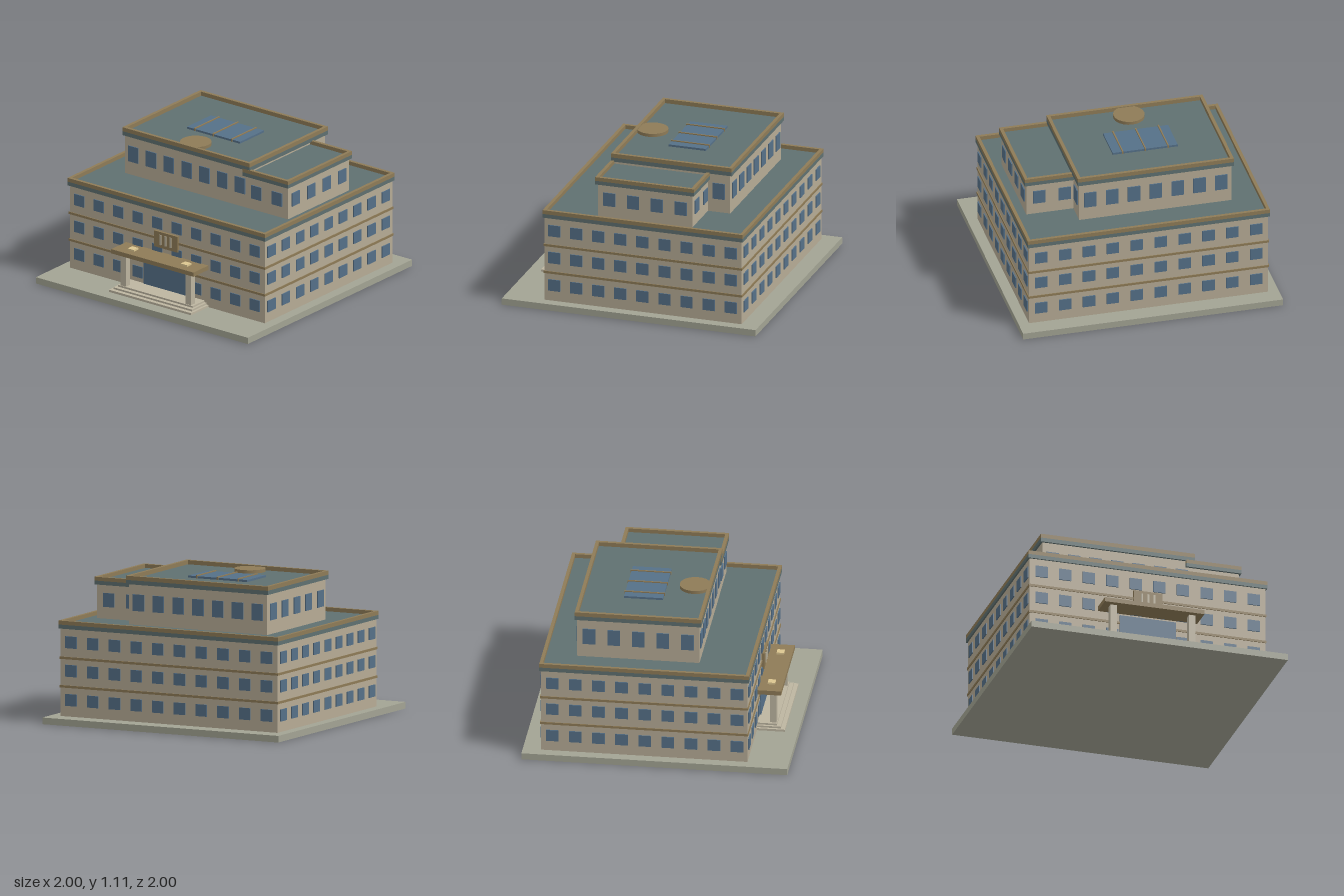
import * as THREE from 'three';

const paint = (color) => new THREE.MeshStandardMaterial({ color });
const wall = paint(0xb6ab95), trim = paint(0x8e7b57), roof = paint(0x5f7070);
const glass = paint(0x557088), paving = paint(0xa2a393), stone = paint(0xbdb5a0), lamp = paint(0xdcc690);

// Box given by its extents on each axis
function box(parent, name, material, [x0, x1], [y0, y1], [z0, z1]) {
  const mesh = new THREE.Mesh(new THREE.BoxGeometry(x1 - x0, y1 - y0, z1 - z0), material);
  mesh.position.set((x0 + x1) / 2, (y0 + y1) / 2, (z0 + z1) / 2);
  mesh.name = name;
  parent.add(mesh);
  return mesh;
}

// Flat slab with a raised rim around its edge
function flatRoof(parent, name, [x0, x1], [y0, y1], [z0, z1]) {
  const g = new THREE.Group();
  g.name = name;
  const mid = (y0 + y1) / 2, w = 0.025;
  box(g, 'roofSlab', roof, [x0, x1], [y0, mid], [z0, z1]);
  for (const z of [z0, z1 - w]) box(g, 'roofRim', trim, [x0, x1], [mid, y1], [z, z + w]);
  for (const x of [x0, x1 - w]) box(g, 'roofRim', trim, [x, x + w], [mid, y1], [z0 + w, z1 - w]);
  parent.add(g);
}

// Evenly spaced positions
const spread = (first, last, n) => Array.from({ length: n }, (_, i) => first + (last - first) * i / (n - 1));

// Window panes on a wall: axis is the wall's normal, at is the wall's position
function windows(parent, axis, at, positions, y, h, w = 0.095) {
  const span = [at - 0.008, at + 0.008];
  for (const p of positions) {
    const along = [p - w / 2, p + w / 2], up = [y - h / 2, y + h / 2];
    if (axis === 'z') box(parent, 'window', glass, along, up, span);
    else box(parent, 'window', glass, span, up, along);
  }
}

export function createModel() {
  const model = new THREE.Group();
  model.name = 'officeBuilding';
  box(model, 'groundSlab', paving, [-1, 1], [0, 0.05], [-1, 1]);

  // Three-storey main block
  const main = new THREE.Group();
  main.name = 'mainBlock';
  model.add(main);
  box(main, 'mainWalls', wall, [-0.92, 0.92], [0.05, 0.71], [-0.863, 0.69]);
  for (const y of [0.275, 0.49])
    box(main, 'floorBand', trim, [-0.926, 0.926], [y - 0.009, y + 0.009], [-0.869, 0.696]);
  const columns = spread(-0.828, 0.828, 10), sideColumns = spread(0.613, -0.778, 9);
  for (const y of [0.175, 0.395, 0.61]) {
    const front = y < 0.2 ? columns.filter((x) => Math.abs(x) > 0.2) : columns;
    windows(main, 'z', 0.69, front, y, 0.09);
    windows(main, 'z', -0.863, columns, y, 0.09);
    for (const x of [-0.92, 0.92]) windows(main, 'x', x, sideColumns, y, 0.09);
  }
  flatRoof(main, 'mainRoof', [-0.932, 0.932], [0.71, 0.77], [-0.875, 0.702]);

  // Upper block
  const upper = new THREE.Group();
  upper.name = 'upperBlock';
  model.add(upper);
  box(upper, 'upperWalls', wall, [-0.7, 0.472], [0.73, 1.045], [-0.62, 0.3]);
  for (const z of [-0.62, 0.3]) windows(upper, 'z', z, spread(-0.62, 0.387, 7), 0.908, 0.125);
  for (const x of [-0.7, 0.472]) windows(upper, 'x', x, spread(0.21, -0.53, 5), 0.908, 0.125);
  flatRoof(upper, 'upperRoof', [-0.715, 0.487], [1.045, 1.108], [-0.637, 0.315]);

  // Lower side wing
  const wing = new THREE.Group();
  wing.name = 'sideWing';
  model.add(wing);
  box(wing, 'wingWalls', wall, [0.43, 0.835], [0.73, 0.995], [-0.445, 0.299]);
  for (const z of [-0.445, 0.3]) windows(wing, 'z', z, [0.54, 0.735], 0.882, 0.105);
  windows(wing, 'x', 0.835, spread(0.208, -0.355, 4), 0.882, 0.105);
  flatRoof(wing, 'wingRoof', [0.42, 0.85], [0.995, 1.053], [-0.462, 0.316]);

  // Skylight and round pad on the upper roof
  box(upper, 'skylight', glass, [-0.365, 0.135], [1.07, 1.092], [-0.312, -0.02]);
  for (const x of [-0.29, -0.115, 0.06])
    box(upper, 'skylightBar', trim, [x - 0.005, x + 0.005], [1.07, 1.1], [-0.318, -0.014]);
  const pad = new THREE.Mesh(new THREE.CylinderGeometry(0.118, 0.118, 0.03, 20), trim);
  pad.name = 'roofPad';
  pad.position.set(-0.117, 1.086, 0.192);
  upper.add(pad);

  // Entrance: steps, door, columns, canopy
  const entrance = new THREE.Group();
  entrance.name = 'entrance';
  model.add(entrance);
  [[0.388, 0.9], [0.37, 0.868], [0.352, 0.836]].forEach(([x, z], i) =>
    box(entrance, 'step', stone, [-x, x], [0.05, 0.067 + i * 0.014], [0.69, z]));
  box(entrance, 'door', glass, [-0.218, 0.218], [0.095, 0.335], [0.68, 0.7]);
  for (const s of [-1, 1]) {
    const x = s * 0.307, lx = s * 0.25;
    box(entrance, 'column', stone, [x - 0.025, x + 0.025], [0.09, 0.35], [0.78, 0.83]);
    box(entrance, 'canopyLamp', lamp, [lx - 0.029, lx + 0.029], [0.38, 0.398], [0.757, 0.812]);
  }
  box(entrance, 'canopy', trim, [-0.388, 0.388], [0.35, 0.384], [0.68, 0.872]);

  // Plaque with three upright bars above the canopy
  box(entrance, 'plaque', trim, [-0.112, 0.11], [0.425, 0.552], [0.68, 0.71]);
  for (const x of [-0.048, 0, 0.046])
    box(entrance, 'plaqueBar', stone, [x - 0.007, x + 0.007], [0.45, 0.53], [0.7, 0.716]);

  return model;
}
